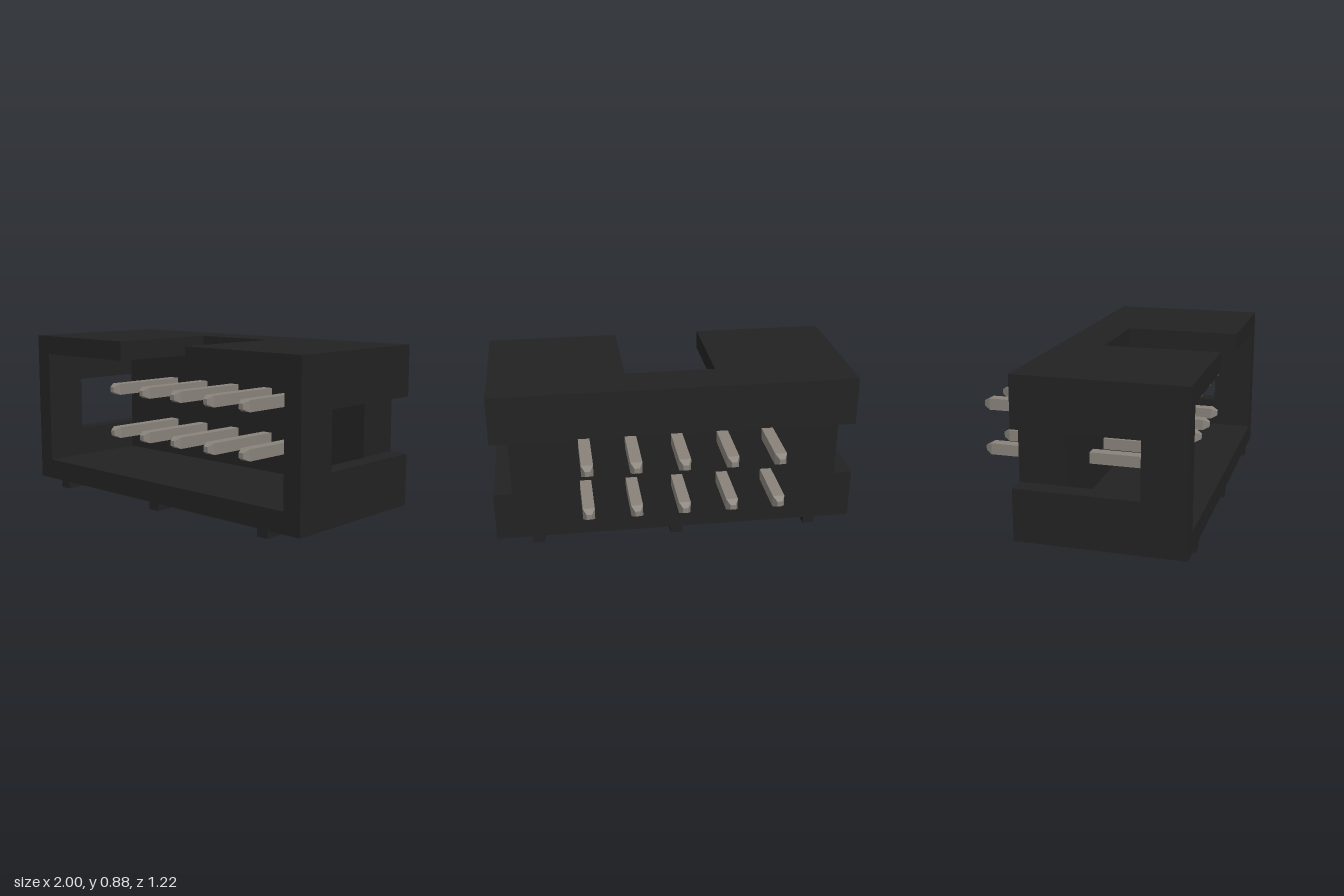
import * as THREE from 'three';

const BACK = -0.265, WALL = -0.02, WINDOW = 0.38, FRONT = 0.61; // z stations
const BOTTOM = 0.04, FLOOR = 0.15, SLOT_LOW = 0.315, SLOT_HIGH = 0.615, CEILING = 0.78, TOP = 0.885;
const INNER = 0.9, NOTCH = 0.25; // half widths of cavity and key notch

const plastic = new THREE.MeshStandardMaterial({ color: 0x222222, flatShading: true });
const metal = new THREE.MeshStandardMaterial({ color: 0x88827a, flatShading: true });

// Cross-section in x/y extruded between two z stations
function section(name, points, z0, z1) {
  const shape = new THREE.Shape(points.map(([x, y]) => new THREE.Vector2(x, y)));
  const geometry = new THREE.ExtrudeGeometry(shape, { depth: z1 - z0, bevelEnabled: false });
  geometry.translate(0, 0, z0);
  const mesh = new THREE.Mesh(geometry, plastic);
  mesh.name = name;
  return mesh;
}

// Completes a right-hand half outline with its mirror image
const mirrored = (half) => [...half, ...half.map(([x, y]) => [-x, y]).reverse()];

export function createModel() {
  const model = new THREE.Group();
  model.name = 'boxHeader';

  const housing = new THREE.Group();
  housing.name = 'housing';
  model.add(housing);

  // Solid rear block with a groove in each end
  housing.add(section('rearBlock', mirrored([
    [1, BOTTOM], [1, SLOT_LOW], [INNER, SLOT_LOW], [INNER, SLOT_HIGH], [1, SLOT_HIGH], [1, TOP],
  ]), BACK, WALL));

  // Shroud beside the end windows: lower tray and two upper corners
  housing.add(section('lowerTray', mirrored([
    [1, BOTTOM], [1, SLOT_LOW], [INNER, SLOT_LOW], [INNER, FLOOR],
  ]), WALL, WINDOW));
  for (const [side, s] of [['left', 1], ['right', -1]]) {
    housing.add(section(side + 'UpperCorner', [
      [INNER, SLOT_HIGH], [1, SLOT_HIGH], [1, TOP], [NOTCH, TOP], [NOTCH, CEILING], [INNER, CEILING],
    ].map(([x, y]) => [s * x, y]), WALL, WINDOW));
  }

  // Front rim of the shroud, open at the key notch
  housing.add(section('frontRim', mirrored([
    [1, BOTTOM], [1, TOP], [NOTCH, TOP], [NOTCH, CEILING], [INNER, CEILING], [INNER, FLOOR],
  ]), WINDOW, FRONT));

  // Standoff ribs under the housing
  const ribGeometry = new THREE.BoxGeometry(0.065, BOTTOM, FRONT - BACK);
  for (const x of [-0.77, 0, 0.77]) {
    const rib = new THREE.Mesh(ribGeometry, plastic);
    rib.name = 'standoffRib';
    rib.position.set(x, BOTTOM / 2, (FRONT + BACK) / 2);
    housing.add(rib);
  }

  // Square contact pins with tapered tips
  const d = Math.SQRT2;
  const pinGeometry = new THREE.LatheGeometry([
    [0, -0.61], [0.014 * d, -0.61], [0.031 * d, -0.575],
    [0.031 * d, 0.435], [0.014 * d, 0.47], [0, 0.47],
  ].map(([r, y]) => new THREE.Vector2(r, y)), 4, Math.PI / 4);
  pinGeometry.rotateX(Math.PI / 2);
  const pins = new THREE.Group();
  pins.name = 'pins';
  model.add(pins);
  for (const y of [0.341, 0.591]) {
    for (let i = -2; i <= 2; i++) {
      const pin = new THREE.Mesh(pinGeometry, metal);
      pin.name = 'contactPin';
      pin.position.set(i * 0.25, y, 0);
      pins.add(pin);
    }
  }
  return model;
}
